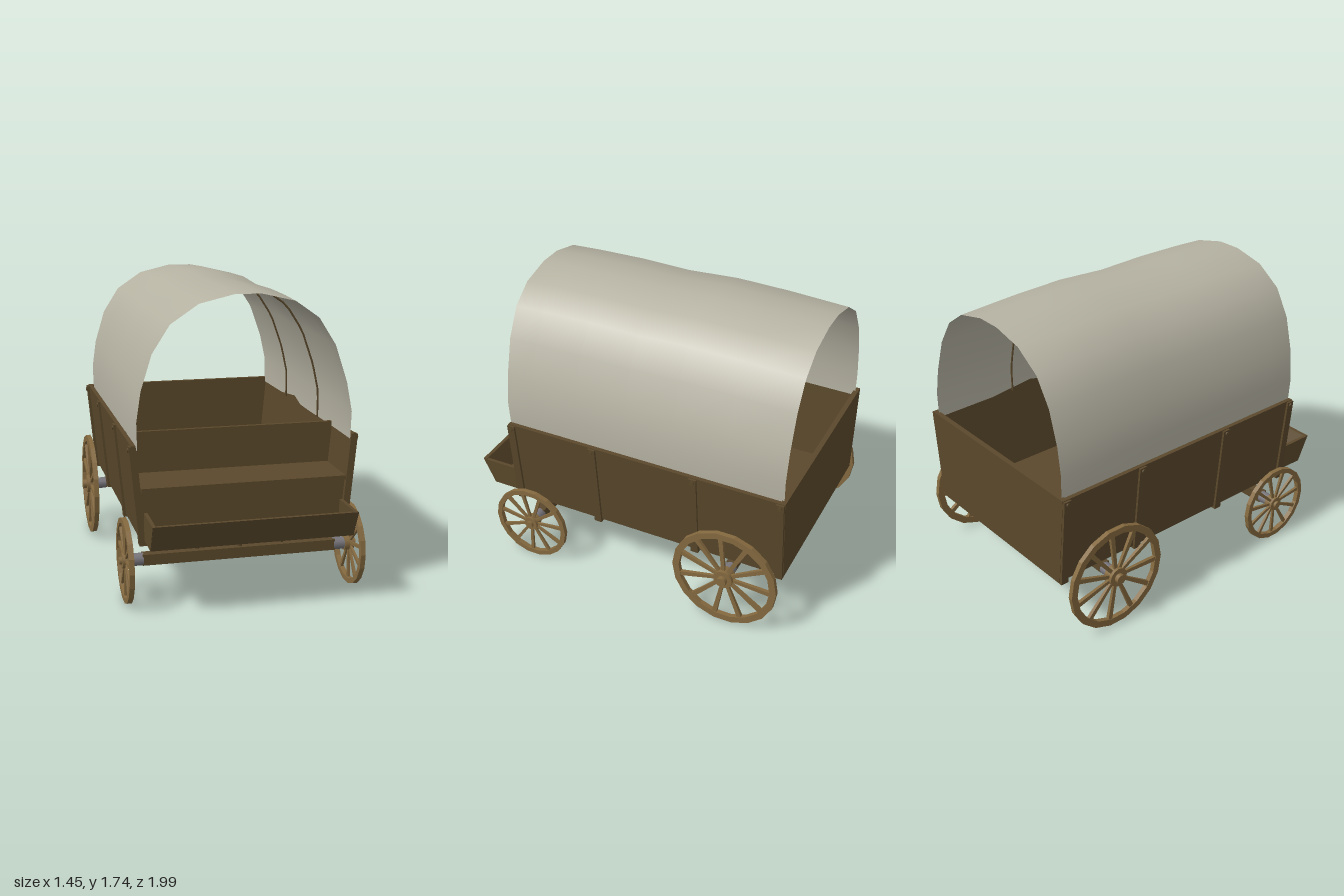
import * as THREE from 'three';
import { toCreasedNormals } from 'three/addons/utils/BufferGeometryUtils.js';

const wood = new THREE.MeshStandardMaterial({ name: 'dark wood', color: 0x5a482b });
const wheelWood = new THREE.MeshStandardMaterial({ name: 'wheel wood', color: 0x84693f });
const canvas = new THREE.MeshStandardMaterial({ name: 'canvas', color: 0xb5b2a2, side: THREE.DoubleSide });
const iron = new THREE.MeshStandardMaterial({ name: 'iron', color: 0x77757a });

export function createModel() {
  const wagon = new THREE.Group();
  wagon.name = 'coveredWagon';

  function add(name, geometry, material = wood, parent = wagon) {
    const mesh = new THREE.Mesh(geometry, material);
    mesh.name = name;
    parent.add(mesh);
    return mesh;
  }
  // Box given by its lower and upper corners
  function box(name, x0, x1, y0, y1, z0, z1, material) {
    const g = new THREE.BoxGeometry(x1 - x0, y1 - y0, z1 - z0);
    g.translate((x0 + x1) / 2, (y0 + y1) / 2, (z0 + z1) / 2);
    return add(name, g, material);
  }
  function extrude(points, depth) {
    const shape = new THREE.Shape(points.map(p => new THREE.Vector2(...p)));
    return new THREE.ExtrudeGeometry(shape, { depth, bevelEnabled: false });
  }
  // Outline in x and y, pushed along z
  const slabZ = (name, points, z0, z1) => add(name, extrude(points, z1 - z0).translate(0, 0, z0));
  // Outline in z and y, pushed along x
  const slabX = (name, points, x0, x1) =>
    add(name, extrude(points, x1 - x0).rotateY(-Math.PI / 2).translate(x1, 0, 0));
  // Square pole between two points
  function pole(name, from, to, thickness) {
    const a = new THREE.Vector3(...from), b = new THREE.Vector3(...to);
    const mesh = add(name, new THREE.BoxGeometry(thickness, thickness, a.distanceTo(b)));
    mesh.position.copy(a).add(b).multiplyScalar(0.5);
    mesh.lookAt(b);
  }

  // Flared wagon box
  box('floor', -0.57, 0.57, 0.385, 0.41, -0.98, 0.74);
  for (const s of [-1, 1]) {
    slabZ('sideWall', [[s * 0.555, 0.385], [s * 0.58, 0.385], [s * 0.632, 0.93], [s * 0.607, 0.93]], -0.985, 0.745);
    for (const z of [0.722, 0.188, -0.445, -0.962]) {
      slabZ('sidePost', [[s * 0.575, 0.368], [s * 0.593, 0.368], [s * 0.645, 0.925], [s * 0.627, 0.925]],
        z - 0.023, z + 0.023);
      add('postBolt', new THREE.CylinderGeometry(0.012, 0.012, 0.012, 8)
        .rotateZ(Math.PI / 2).translate(s * 0.645, 0.905, z), wood);
    }
  }
  const endBoard = [[-0.578, 0.385], [0.578, 0.385], [0.63, 0.93], [-0.63, 0.93]];
  slabZ('tailgate', endBoard, -0.987, -0.957);
  for (const z of [0.722, 0.188, -0.445, -0.962])
    box('floorCleat', -0.58, 0.58, 0.368, 0.386, z - 0.023, z + 0.023);

  // Driver's seat with its back board
  slabZ('seatBack', [[-0.558, 0.4], [0.558, 0.4], [0.607, 0.928], [-0.607, 0.928]], 0.4, 0.425);
  slabZ('seatFront', [[-0.557, 0.385], [0.557, 0.385], [0.583, 0.668], [-0.583, 0.668]], 0.7, 0.722);
  box('seat', -0.58, 0.58, 0.667, 0.69, 0.415, 0.745);

  // Foot box
  box('footFloor', -0.565, 0.565, 0.4, 0.418, 0.72, 0.925);
  slabX('footBoard', [[0.905, 0.4], [0.927, 0.4], [1, 0.555], [0.978, 0.555]], -0.565, 0.565);
  for (const x of [-0.567, 0.547])
    slabX('footBoxEnd', [[0.74, 0.4], [0.925, 0.4], [0.998, 0.553], [0.74, 0.553]], x, x + 0.02);

  // Canvas cover: arch outline swept along z with a slight sag between the hoops
  const arch = [[-0.602, 0.9], [-0.606, 1.06], [-0.582, 1.23], [-0.522, 1.43], [-0.425, 1.585], [-0.27, 1.69],
    [-0.08, 1.735], [0.07, 1.735], [0.26, 1.69], [0.395, 1.595], [0.495, 1.44], [0.568, 1.23], [0.604, 1.06], [0.602, 0.9]];
  const stations = [[1, -0.008], [0.7, 0], [0.31, 0.004], [0, -0.004], [-0.3, 0.013], [-0.62, 0.005], [-0.97, -0.014]];
  const cover = new THREE.PlaneGeometry(1, 1, arch.length - 1, stations.length - 1);
  const pos = cover.attributes.position;
  stations.forEach(([z, lift], j) => arch.forEach(([x, y], i) => {
    const t = (y - 0.9) / 0.84;
    const zz = j === 0 ? 0.745 + 0.04 * Math.min(1, t * 1.1) : z === 0.7 ? 0.6 : z;
    pos.setXYZ(j * arch.length + i, x * (1 + lift * 0.6), y + lift * t, zz);
  }));
  cover.computeVertexNormals();
  // The plane's rows run front to back, so its faces are turned to look outwards
  const index = cover.index;
  for (let k = 0; k < index.count; k += 3) {
    const a = index.getX(k);
    index.setX(k, index.getX(k + 1));
    index.setX(k + 1, a);
  }
  cover.computeVertexNormals();
  // Keep whichever winding makes the crown point up
  const crown = 2 * arch.length + 6;
  if (cover.attributes.normal.getY(crown) < 0) {
    for (let k = 0; k < index.count; k += 3) {
      const a = index.getX(k);
      index.setX(k, index.getX(k + 1));
      index.setX(k + 1, a);
    }
    cover.computeVertexNormals();
  }
  add('canvasCover', cover, canvas);

  // Thin hoops under the canvas
  for (const z of [0.19, -0.445]) {
    const path = new THREE.CurvePath();
    const pts = arch.map(([x, y]) => new THREE.Vector3(x * 0.985, 0.9 + (y - 0.9) * 0.985, z));
    for (let i = 1; i < pts.length; i++) path.add(new THREE.LineCurve3(pts[i - 1], pts[i]));
    add('hoop', new THREE.TubeGeometry(path, 40, 0.006, 5));
  }

  // Wheel with its axle along x and its outer face towards +x
  function makeWheel(name, radius, hubRadius, hubOut, capOut, spokes, turn) {
    const wheel = new THREE.Group();
    wheel.name = name;
    const inner = radius * 0.875, w = 0.014;
    const rim = [[radius, -w], [radius, w], [inner, w], [inner, -w], [radius, -w]].map(p => new THREE.Vector2(...p));
    add('rim', toCreasedNormals(new THREE.LatheGeometry(rim, 18).rotateZ(-Math.PI / 2), 0.3), wheelWood, wheel);
    const length = inner + 0.006;
    for (let i = 0; i < spokes; i++) {
      const g = new THREE.CylinderGeometry(radius * 0.062, radius * 0.042, length, 4, 1);
      g.rotateY(Math.PI / 4).scale(0.75, 1, 1).translate(0, length / 2, 0);
      g.rotateX(turn + i * 2 * Math.PI / spokes);
      add('spoke', toCreasedNormals(g, 0.5), wheelWood, wheel);
    }
    const drum = (part, r, x0, x1, material) => add(part, new THREE.CylinderGeometry(r, r, x1 - x0, 12)
      .rotateZ(-Math.PI / 2).translate((x0 + x1) / 2, 0, 0), material, wheel);
    drum('hub', hubRadius, -0.035, hubOut, wheelWood);
    drum('hubCap', hubRadius * 0.5, hubOut - 0.01, capOut, wheelWood);
    drum('axleSleeve', 0.036, -0.1, -0.03, iron);
    return wheel;
  }
  for (const s of [-1, 1]) {
    const rear = makeWheel('rearWheel', 0.32, 0.058, 0.025, 0.05, 11, 0.1);
    rear.position.set(s * 0.674, 0.328, -0.67);
    const front = makeWheel('frontWheel', 0.24, 0.044, 0.02, 0.036, 11, 0.25);
    front.position.set(s * 0.654, 0.25, 0.62);
    if (s < 0) for (const wheel of [rear, front]) wheel.rotation.y = Math.PI;
    wagon.add(rear, front);
  }

  // Running gear: axle beams, bolsters and the forked reach pole
  box('frontAxle', -0.56, 0.56, 0.22, 0.282, 0.59, 0.65);
  box('rearAxle', -0.575, 0.575, 0.305, 0.36, -0.7, -0.64);
  box('rearBolster', -0.5, 0.5, 0.358, 0.388, -0.7, -0.64);
  slabZ('frontBolster', [[-0.5, 0.34], [-0.28, 0.34], [-0.24, 0.32], [0.24, 0.32], [0.28, 0.34], [0.5, 0.34],
    [0.55, 0.388], [-0.55, 0.388]], 0.595, 0.645);
  add('kingPin', new THREE.CylinderGeometry(0.014, 0.014, 0.14, 8).translate(0, 0.31, 0.62), wood);
  pole('reachPole', [0, 0.292, 0.62], [0, 0.322, 0.11], 0.028);
  pole('reachTail', [0, 0.318, 0.15], [0, 0.352, -0.66], 0.018);
  for (const s of [-1, 1]) {
    pole('rearBrace', [0, 0.318, 0.13], [s * 0.28, 0.35, -0.66], 0.018);
    pole('frontBrace', [0, 0.312, 0.22], [s * 0.25, 0.288, 0.62], 0.018);
  }
  return wagon;
}
